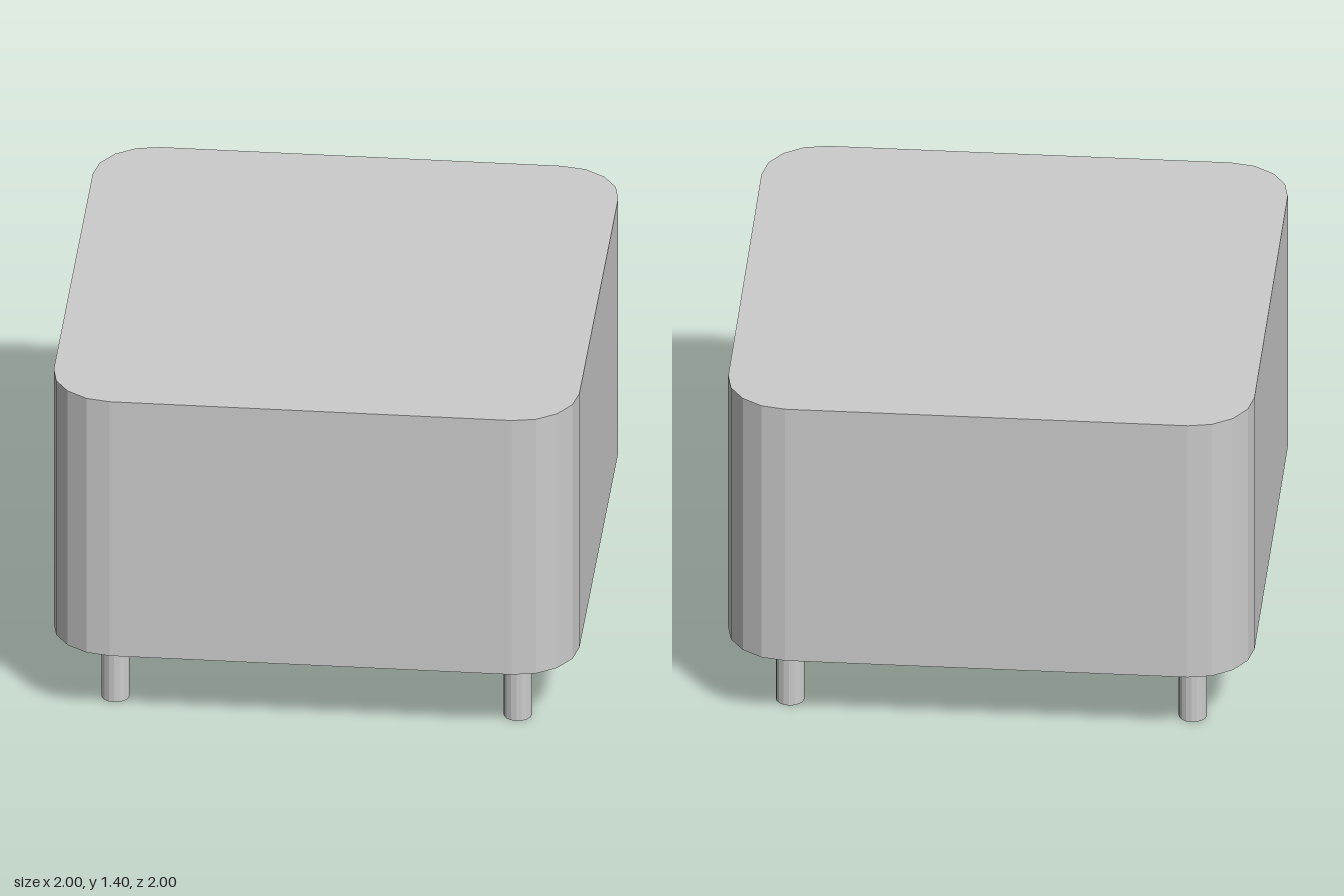
import * as THREE from 'three';

const material = new THREE.MeshStandardMaterial({ color: 0xcccccc, flatShading: true });

const LEG_HEIGHT = 0.3;
const TOP = 1.4;
const CORNER = 0.235; // corner radius of the seat block
const INSET = 1 - CORNER; // corner arc centres, where the legs stand too

// Square outline with rounded corners, four facets per corner
function seatOutline() {
  const shape = new THREE.Shape();
  [[1, 1], [-1, 1], [-1, -1], [1, -1]].forEach(([sx, sy], i) => {
    const start = (i * Math.PI) / 2;
    shape.absarc(sx * INSET, sy * INSET, CORNER, start, start + Math.PI / 2, false);
  });
  shape.closePath();
  return shape;
}

export function createModel() {
  const group = new THREE.Group();
  group.name = 'footstool';

  // Upholstered block
  const seatGeometry = new THREE.ExtrudeGeometry(seatOutline(), {
    depth: TOP - LEG_HEIGHT,
    bevelEnabled: false,
    curveSegments: 2, // arcs are sampled at twice this number
  });
  seatGeometry.rotateX(-Math.PI / 2);
  const seat = new THREE.Mesh(seatGeometry, material);
  seat.name = 'seat';
  seat.position.y = LEG_HEIGHT;
  group.add(seat);

  // Four short round legs under the corners
  const legGeometry = new THREE.CylinderGeometry(0.054, 0.054, LEG_HEIGHT, 16);
  for (const [xName, sx] of [['Left', 1], ['Right', -1]]) {
    for (const [zName, sz] of [['front', 1], ['back', -1]]) {
      const leg = new THREE.Mesh(legGeometry, material);
      leg.name = `${zName}${xName}Leg`;
      leg.position.set(sx * INSET, LEG_HEIGHT / 2, sz * INSET);
      group.add(leg);
    }
  }

  return group;
}
